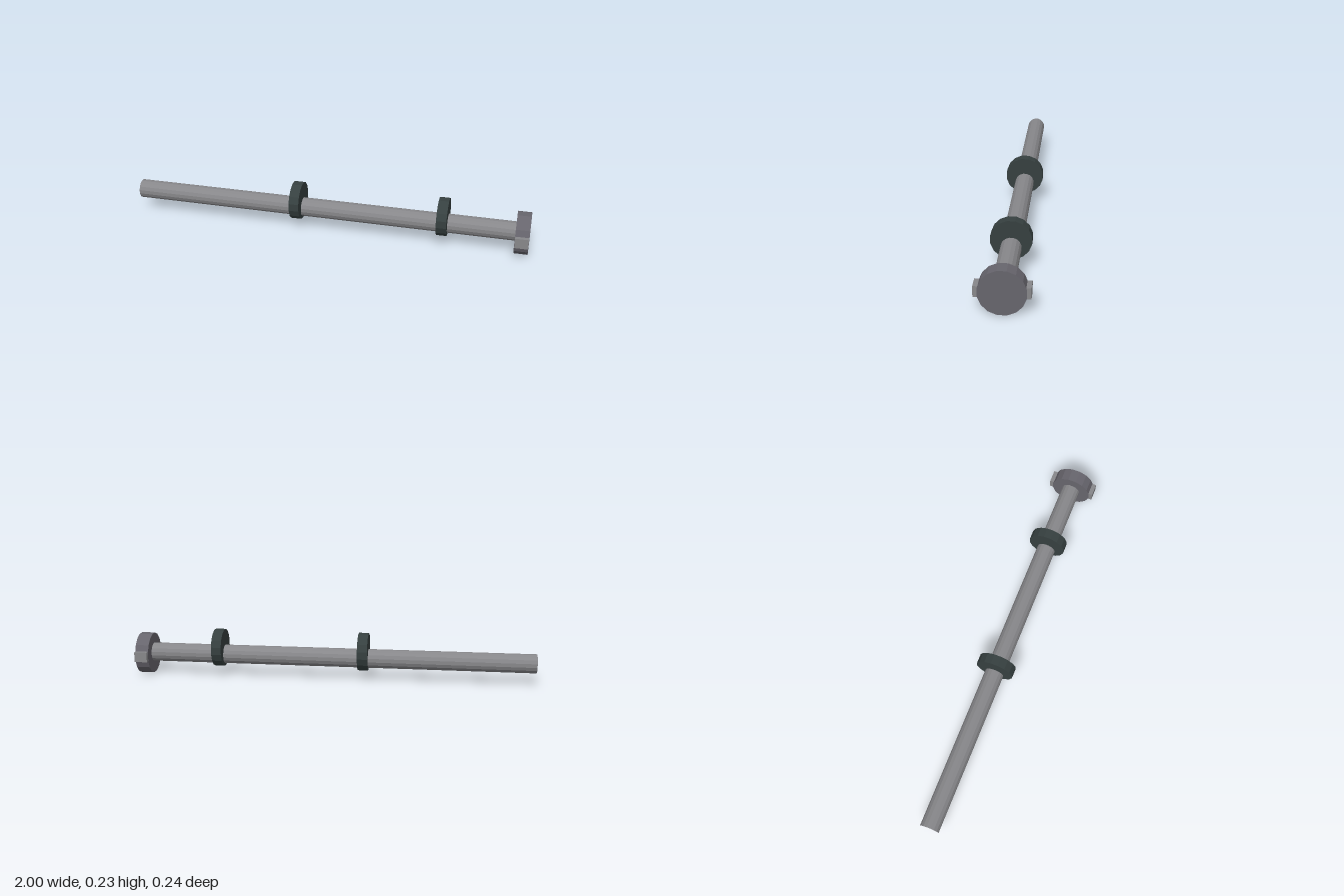
import * as THREE from 'three';

const flat = (name, color) => {
  const m = new THREE.MeshStandardMaterial({ color });
  m.name = name;
  m.flatShading = true;
  return m;
};

// Sixteen-sided drum lying along x, with a flat facet on top
function drum(name, radius, x0, x1, y, material, open = false) {
  const geo = new THREE.CylinderGeometry(radius, radius, x1 - x0, 16, 1, open);
  geo.rotateY(Math.PI / 16);
  geo.rotateZ(-Math.PI / 2);
  const mesh = new THREE.Mesh(geo, material);
  mesh.name = name;
  mesh.position.set((x0 + x1) / 2, y, 0);
  return mesh;
}

export function createModel() {
  const steel = flat('steel', 0x87878a);
  const darkSteel = flat('dark steel', 0x67656d);
  const rubber = flat('dark rubber', 0x364040);
  const model = new THREE.Group();
  model.name = 'tube';

  // Long hollow barrel, open at its ends
  model.add(drum('barrel', 0.047, -1, 0.95, 0.106, steel, true));

  // Two mounting rings, set a little above the barrel axis
  for (const x of [-0.15, 0.583]) {
    model.add(drum('mountingRing', 0.094, x - 0.025, x + 0.025, 0.14, rubber));
  }

  // End cap with a bar sticking out on both sides
  model.add(drum('endCap', 0.103, 0.933, 1, 0.101, darkSteel));
  const bar = new THREE.Mesh(new THREE.BoxGeometry(0.064, 0.05, 0.238), steel);
  bar.name = 'capBar';
  bar.position.set(0.9665, 0.103, 0);
  model.add(bar);

  return model;
}
